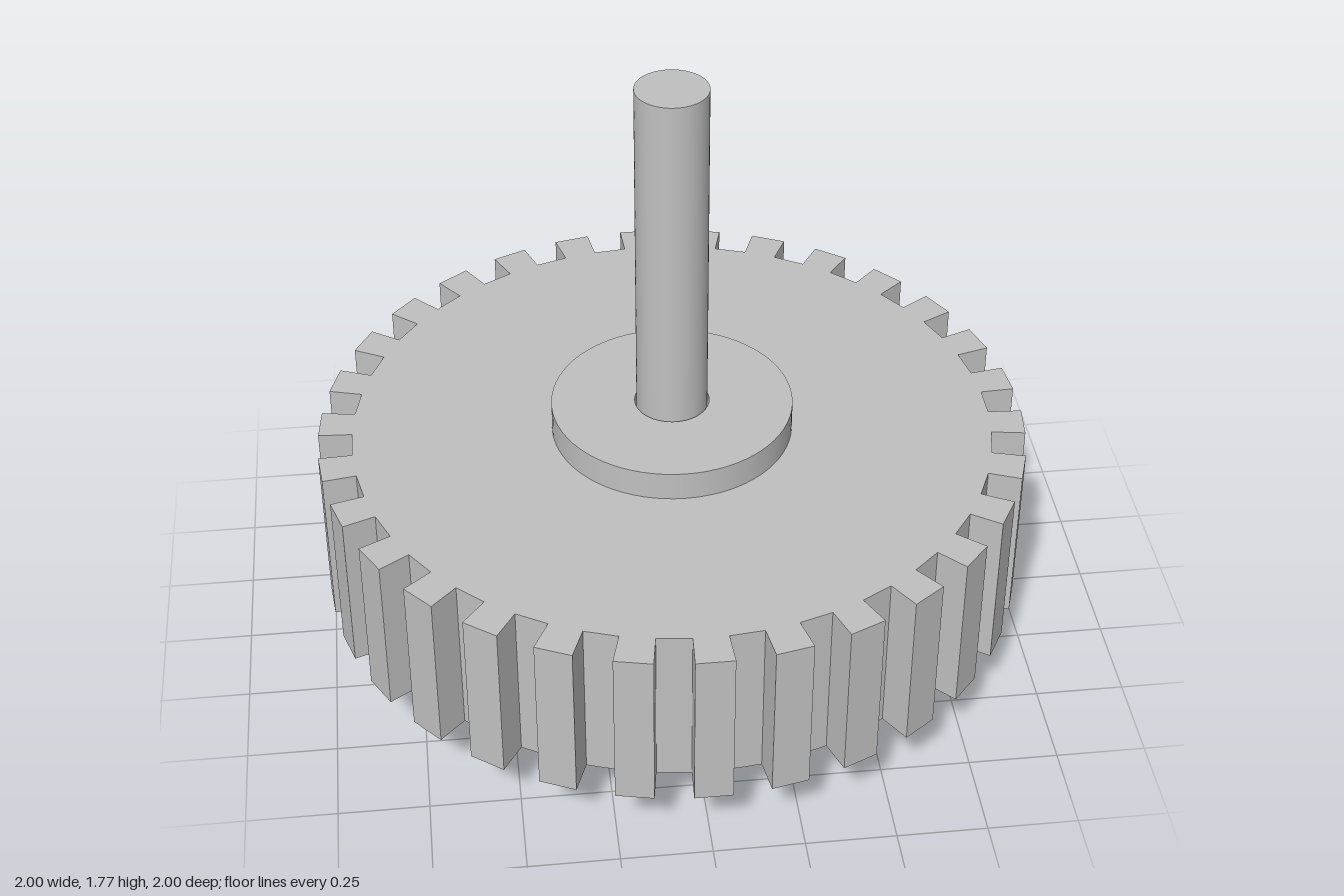
import * as THREE from 'three';
import { toCreasedNormals } from 'three/addons/utils/BufferGeometryUtils.js';

const TEETH = 30, TIP = 1.0, ROOT = 0.905;
const SHAFT_R = 0.1, BORE_R = 0.105, HUB_R = 0.34;

// Outline of the gear wheel with radial tooth flanks and flat tips
function gearShape() {
  const points = [];
  const half = Math.PI / TEETH / 2;
  for (let i = 0; i < TEETH; i++) {
    const a = Math.PI / 2 + (i * 2 * Math.PI) / TEETH;
    for (const [r, d] of [[ROOT, -half], [TIP, -half], [TIP, half], [ROOT, half]]) {
      points.push(new THREE.Vector2(r * Math.cos(a + d), r * Math.sin(a + d)));
    }
  }
  const shape = new THREE.Shape(points);
  shape.holes.push(new THREE.Path().absarc(0, 0, HUB_R - 0.02, 0, Math.PI * 2, true));
  return shape;
}

export function createModel() {
  const group = new THREE.Group();
  const steel = new THREE.MeshStandardMaterial({ color: 0xc0c0c0 });
  steel.name = 'grey metal';

  const add = (name, geometry, y = 0) => {
    const mesh = new THREE.Mesh(geometry, steel);
    mesh.name = name;
    mesh.position.y = y;
    group.add(mesh);
    return mesh;
  };

  // Toothed wheel
  const gear = new THREE.ExtrudeGeometry(gearShape(), { depth: 0.48, bevelEnabled: false, curveSegments: 48 });
  gear.rotateX(-Math.PI / 2);
  add('gearWheel', gear, 0.205);

  // Hub with a bore, standing proud on both faces of the wheel
  const profile = [[BORE_R, 0.125], [HUB_R, 0.125], [HUB_R, 0.77], [BORE_R, 0.77], [BORE_R, 0.125]]
    .map(([r, y]) => new THREE.Vector2(r, y));
  add('hub', toCreasedNormals(new THREE.LatheGeometry(profile, 72), 0.6));

  // Shaft
  add('shaft', new THREE.CylinderGeometry(SHAFT_R, SHAFT_R, 1.775, 64), 1.775 / 2);

  // Four ribs under the wheel and four narrow ribs under the hub
  const addRibs = (name, inner, outer, y0, y1, width) => {
    for (let i = 0; i < 4; i++) {
      const rib = new THREE.BoxGeometry(outer - inner, y1 - y0, width);
      rib.translate((inner + outer) / 2, (y0 + y1) / 2, 0);
      add(name, rib).rotation.y = (i * Math.PI) / 2;
    }
  };
  addRibs('wheelRib', HUB_R - 0.02, ROOT, 0.19, 0.215, 0.09);
  addRibs('hubRib', SHAFT_R - 0.01, HUB_R, 0.1, 0.135, 0.04);

  return group;
}
